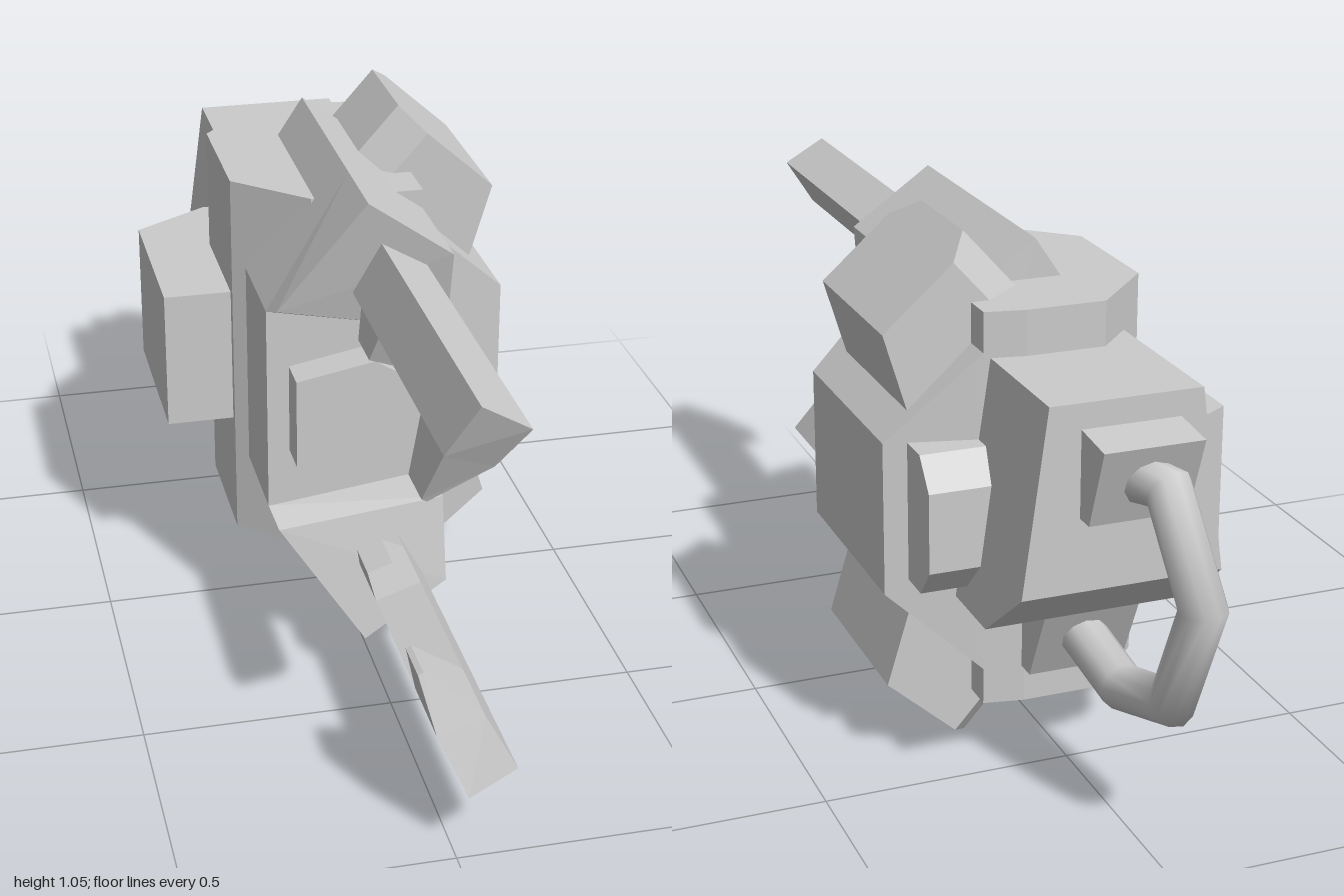
import * as THREE from 'three';
import { ConvexGeometry } from 'three/addons/geometries/ConvexGeometry.js';

const MID = 0.525; // height of the mirror plane between upper and lower parts

export function createModel() {
  const group = new THREE.Group();
  const material = new THREE.MeshStandardMaterial({ color: 0xcccccc, flatShading: true });
  const smooth = new THREE.MeshStandardMaterial({ color: 0xcccccc });

  const add = (name, geometry, mat = material) => {
    const mesh = new THREE.Mesh(geometry, mat);
    mesh.name = name;
    group.add(mesh);
    return mesh;
  };
  const hull = (name, points) =>
    add(name, new ConvexGeometry(points.map(p => new THREE.Vector3(...p))));
  // prism(fn): two copies of an outline, placed by fn(a, b, end)
  const prism = (name, outline, from, to, place) =>
    hull(name, [from, to].flatMap(d => outline.map(([a, b]) => place(a, b, d))));
  const alongX = (a, b, d) => [d, b, a]; // outline in (z, y)
  const alongY = (a, b, d) => [a, d, b]; // outline in (x, z)
  const alongZ = (a, b, d) => [a, b, d]; // outline in (x, y)
  const flip = (y, side) => MID + side * (y - MID);

  // Central housing, ridged above and below
  prism('housing', [[-0.01, 1.01], [0.16, 0.89], [0.16, 0.16], [-0.01, 0.04],
    [-0.185, 0.305], [-0.185, 0.745]], -0.29, 0.19, alongZ);

  // Rear body slab with bevelled side corners
  prism('body', [[-0.21, -0.05], [-0.07, 0.08], [0.16, 0.08], [0.16, -0.455],
    [0.08, -0.47], [-0.08, -0.47], [-0.21, -0.33]], 0.125, 0.93, alongY);

  // Tapered bulge on the left side
  hull('sideBulge', [
    ...[[0.075, 0.2], [0.075, 0.85], [-0.455, 0.2], [-0.455, 0.85]].map(([z, y]) => [0.16, y, z]),
    ...[[0.03, 0.37], [0.03, 0.68], [-0.41, 0.37], [-0.41, 0.68]].map(([z, y]) => [0.345, y, z]),
  ]);

  // Block on the right side
  prism('sideBlock', [[-0.35, -0.07], [-0.1, -0.07], [-0.1, -0.54], [-0.19, -0.54],
    [-0.35, -0.44]], 0.38, 0.675, alongY);

  // Stub between the jaws
  prism('frontStub', [[-0.14, 0.62], [0.02, 0.65], [0.08, 0.612], [0.08, 0.438],
    [0.02, 0.403], [-0.14, 0.43]], 0.1, 0.265, alongZ);

  // Small side knob behind the bulge
  prism('sideKnob', [[-0.35, 0.68], [-0.49, 0.68], [-0.54, 0.62], [-0.54, 0.46],
    [-0.49, 0.4], [-0.35, 0.4]], 0.1, 0.3, alongX);

  // Rear box, narrower at the top
  hull('rearBox', [[-0.35, 0.84], [-0.74, 0.84], [-0.74, 0.475], [-0.6, 0.36], [-0.35, 0.36]]
    .flatMap(([z, y]) => {
      const w = 0.15 + (0.84 - y) / 0.48 * 0.065;
      return [[w - 0.003, y, z], [-w - 0.003, y, z]];
    }));

  // Cable sockets
  prism('upperSocket', [[-0.7, 0.79], [-0.74, 0.79], [-0.84, 0.78], [-0.78, 0.62],
    [-0.7, 0.62]], -0.11, 0.085, alongX);
  prism('lowerSocket', [[-0.4, 0.4], [-0.57, 0.4], [-0.585, 0.355], [-0.51, 0.2],
    [-0.4, 0.2]], -0.11, 0.085, alongX);

  // Rear cable, one tube section per bend
  const path = new THREE.CatmullRomCurve3([[-0.01, 0.7, -0.78], [-0.025, 0.71, -0.87],
    [-0.058, 0.51, -0.955], [-0.045, 0.29, -0.87], [-0.025, 0.245, -0.7],
    [-0.01, 0.29, -0.54]].map(p => new THREE.Vector3(...p)));
  path.getPointAt = path.getPoint;
  path.getTangentAt = path.getTangent;
  add('cable', new THREE.TubeGeometry(path, 5, 0.046, 10), smooth);

  // Arm profile in (z, depth): a bar with a hooked tip and a small tooth
  const armProfile = new THREE.Shape([[0.2, 0], [1, 0], [0.955, 1], [0.91, 2], [0.82, 2],
    [0.8, 1], [0.49, 1], [0.47, 1.5], [0.38, 1.5], [0.35, 1], [0.2, 1]]
    .map(p => new THREE.Vector2(...p)));
  const near = [[0.02, 0.92], [-0.03, 0.81], [-0.055, 0.705]];
  const far = [[0.11, 0.868], [0.06, 0.78], [-0.045, 0.7]];
  const along = (line, t, k) => {
    const i = Math.min(1, Math.floor(t));
    return THREE.MathUtils.lerp(line[i][k], line[i + 1][k], t - i);
  };

  for (const side of [1, -1]) {
    const label = side > 0 ? 'upper' : 'lower';

    // Jaw with a sloping front and inner face
    hull(label + 'Jaw', [
      [-0.01, 1.01, 0.32], [0.16, 0.89, 0.32], [0.16, 0.715, 0.28], [-0.175, 0.77, 0.25],
      [-0.01, 1.01, 0.15], [0.16, 0.89, 0.15], [0.16, 0.7, 0.19], [-0.185, 0.745, 0.19],
    ].map(([x, y, z]) => [x, flip(y, side), z]));

    // Slanted pod: outline in (tangent, z), widening inwards
    const outer = [[0, -0.09], [0.06, -0.02], [0.248, -0.02], [0.248, -0.39],
      [0.06, -0.39], [0, -0.32]];
    prism(label + 'Pod', outer, 0, 0.26, (s, z, d) => {
      const t = s > 0.2 ? s + d * 0.465 : s;
      return [0.15 + t * 0.746 - d * 0.665, flip(1.05 - t * 0.665 - d * 0.746, side), z];
    });

    // Arm, tapering in thickness towards its teeth
    const arm = new THREE.ExtrudeGeometry(armProfile, { depth: 1, bevelEnabled: false });
    const pos = arm.attributes.position;
    for (let i = 0; i < pos.count; i++) {
      const z = pos.getX(i), t = pos.getY(i);
      const w = side > 0 ? pos.getZ(i) : 1 - pos.getZ(i);
      const [x, y] = [0, 1].map(k =>
        THREE.MathUtils.lerp(along(near, t, k), along(far, t, k), w));
      pos.setXYZ(i, x, flip(y, side), z);
    }
    arm.computeVertexNormals();
    add(label + 'Arm', arm);
  }
  return group;
}
